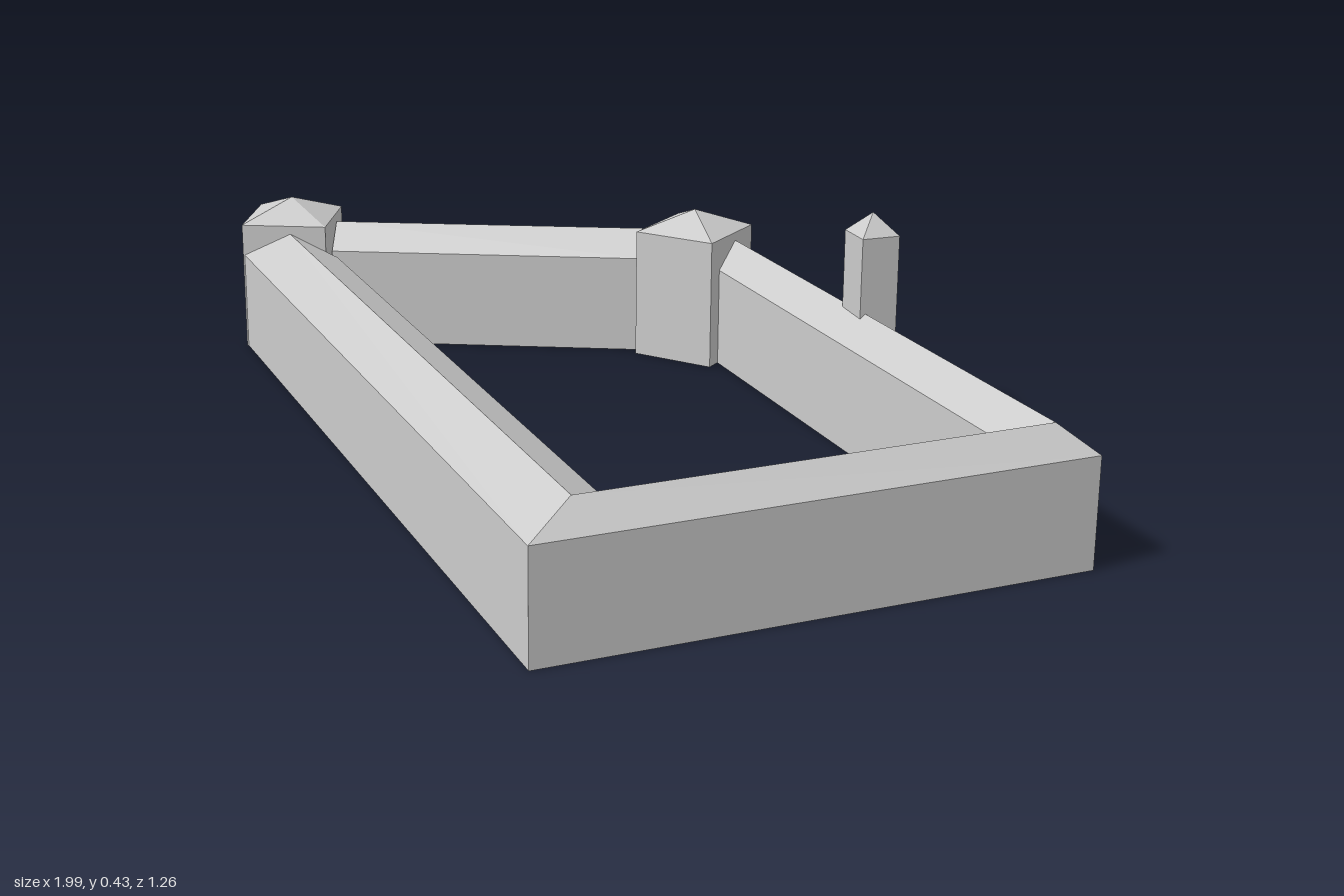
import * as THREE from 'three';

const WALL = 0.2, RIDGE = 0.248;

// Wall with a ridged top, lofted between two end cuts.
// Each end is [outerX, outerZ, innerX, innerZ]; the walls run clockwise seen from above.
function wall(name, a, b, mat) {
  const section = ([ox, oz, ix, iz]) => [
    [ox, 0, oz], [ox, WALL, oz],
    [(ox + ix) / 2, RIDGE, (oz + iz) / 2],
    [ix, WALL, iz], [ix, 0, iz],
  ];
  const A = section(a), B = section(b), n = A.length, pos = [];
  const tri = (...pts) => pts.forEach((p) => pos.push(...p));
  for (let i = 0; i < n; i++) {
    const j = (i + 1) % n;
    tri(A[i], A[j], B[j]);
    tri(A[i], B[j], B[i]);
  }
  for (let k = 1; k < n - 1; k++) {
    tri(A[0], A[k + 1], A[k]);
    tri(B[0], B[k], B[k + 1]);
  }
  const geo = new THREE.BufferGeometry();
  geo.setAttribute('position', new THREE.Float32BufferAttribute(pos, 3));
  geo.computeVertexNormals();
  const mesh = new THREE.Mesh(geo, mat);
  mesh.name = name;
  return mesh;
}

// Square tower with a pyramid roof; r is half its diagonal
function tower(name, x, z, r, eave, apex, turn, mat) {
  const profile = [[0, 0], [r, 0], [r, eave], [0, apex]].map(([px, py]) => new THREE.Vector2(px, py));
  const geo = new THREE.LatheGeometry(profile, 4).toNonIndexed();
  geo.computeVertexNormals();
  const mesh = new THREE.Mesh(geo, mat);
  mesh.position.set(x, 0, z);
  mesh.rotation.y = turn;
  mesh.name = name;
  return mesh;
}

export function createModel() {
  const group = new THREE.Group();
  group.name = 'walledEnclosure';
  const mat = new THREE.MeshStandardMaterial({ color: 0xcccccc, flatShading: true });

  // Mitred corners shared by neighbouring walls
  const backCorner = [0.995, -0.33, 0.872, -0.24];
  const frontCorner = [0.765, 0.628, 0.71, 0.435];

  group.add(
    wall('rightBackWall', [-0.885, -0.01, -0.785, 0.072], [-0.415, -0.565, -0.358, -0.425], mat),
    wall('backWall', [-0.25, -0.63, -0.195, -0.503], backCorner, mat),
    wall('leftWall', backCorner, frontCorner, mat),
    wall('frontWall', frontCorner, [-0.865, 0.237, -0.737, 0.087], mat),
    // Corner towers and the slim turret on the back wall
    tower('rightTower', -0.875, 0.115, 0.125, 0.265, 0.306, 0.07, mat),
    tower('backTower', -0.298, -0.518, 0.125, 0.265, 0.306, 1.19, mat),
    tower('turret', 0.29, -0.471, 0.053, 0.392, 0.432, 0.5, mat),
  );
  return group;
}
